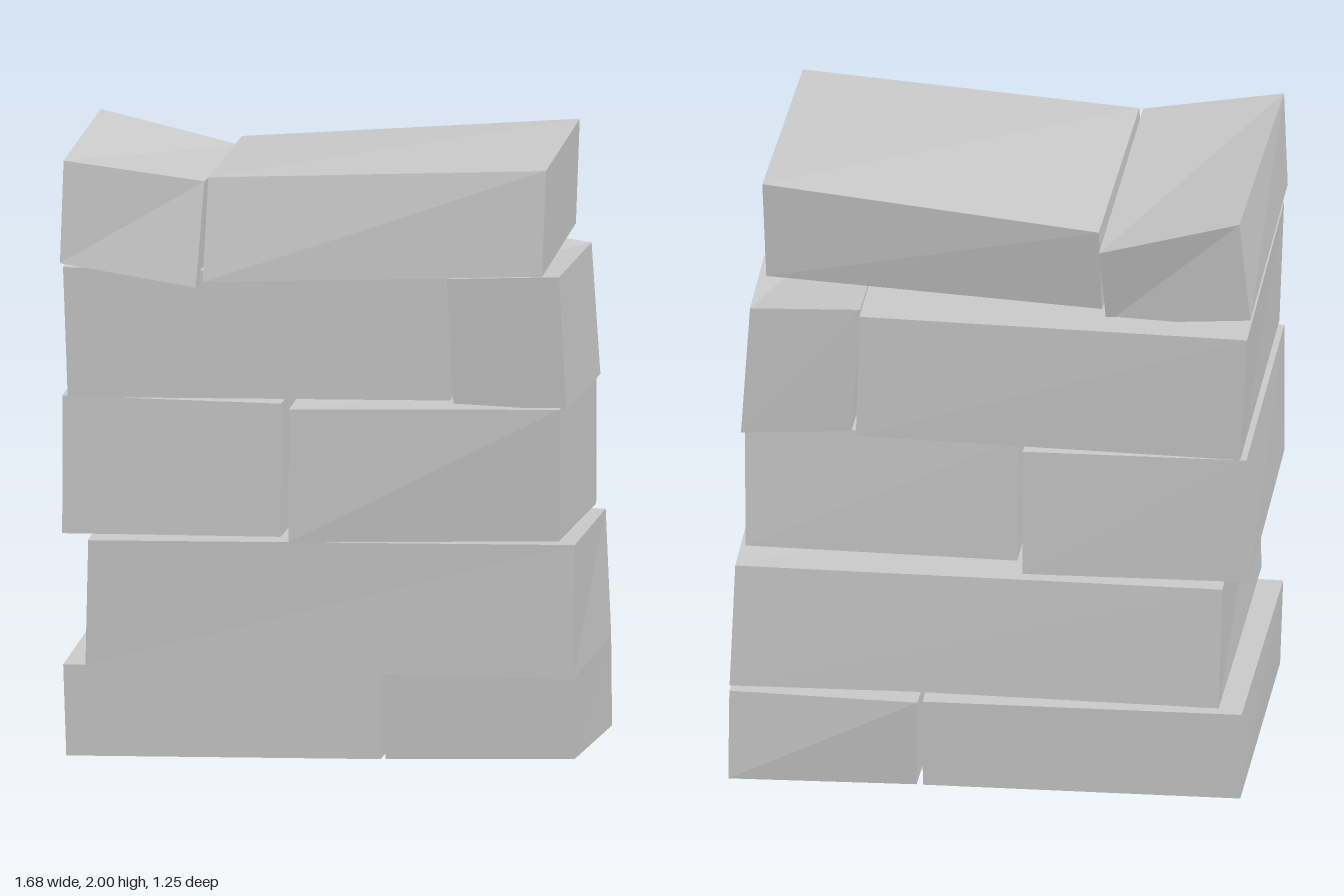
import * as THREE from 'three';

const material = new THREE.MeshStandardMaterial({ color: 0xcccccc, flatShading: true });

// A hewn block: a box whose eight corners are moved to given points.
// Each ring runs top left, top right, bottom right, bottom left (seen from +z).
function block(name, front, back) {
  const geometry = new THREE.BoxGeometry(1, 1, 1);
  const p = geometry.attributes.position;
  for (let i = 0; i < p.count; i++) {
    const ring = p.getZ(i) > 0 ? front : back;
    const right = p.getX(i) > 0;
    const corner = p.getY(i) > 0 ? (right ? 1 : 0) : (right ? 2 : 3);
    p.setXYZ(i, ...ring[corner]);
  }
  geometry.computeVertexNormals();
  const mesh = new THREE.Mesh(geometry, material);
  mesh.name = name;
  return mesh;
}

export function createModel() {
  const group = new THREE.Group();
  group.name = 'stackedStones';
  group.add(
    // Bottom course
    block('bottomCourseRight',
      [[-0.82, 0.32, 0.43], [0.205, 0.315, 0.43], [0.205, 0.03, 0.43], [-0.81, 0.025, 0.43]],
      [[-0.83, 0.33, -0.595], [0.2, 0.32, -0.62], [0.2, 0.02, -0.61], [-0.825, 0.03, -0.59]]),
    block('bottomCourseLeft',
      [[0.22, 0.315, 0.43], [0.835, 0.31, 0.435], [0.83, 0.04, 0.425], [0.22, 0.03, 0.42]],
      [[0.215, 0.32, -0.63], [0.83, 0.3, -0.585], [0.83, 0, -0.61], [0.22, 0.02, -0.61]]),
    // Second course, one long stone
    block('secondCourse',
      [[-0.73, 0.735, 0.51], [0.84, 0.745, 0.505], [0.835, 0.31, 0.505], [-0.74, 0.33, 0.5]],
      [[-0.76, 0.745, -0.54], [0.82, 0.715, -0.52], [0.835, 0.3, -0.545], [-0.75, 0.32, -0.555]]),
    // Third course
    block('thirdCourseRight',
      [[-0.815, 1.2, 0.49], [-0.11, 1.185, 0.49], [-0.11, 0.755, 0.5], [-0.815, 0.755, 0.5]],
      [[-0.835, 1.2, -0.52], [-0.11, 1.18, -0.515], [-0.11, 0.75, -0.525], [-0.845, 0.77, -0.525]]),
    block('thirdCourseLeft',
      [[-0.07, 1.185, 0.615], [0.805, 1.2, 0.625], [0.8, 0.77, 0.598], [-0.07, 0.755, 0.62]],
      [[-0.085, 1.18, -0.42], [0.805, 1.16, -0.4], [0.8, 0.745, -0.43], [-0.08, 0.75, -0.43]]),
    // Fourth course
    block('fourthCourseRight',
      [[-0.81, 1.62, 0.52], [0.44, 1.61, 0.53], [0.44, 1.21, 0.53], [-0.795, 1.2, 0.52]],
      [[-0.838, 1.63, -0.525], [0.42, 1.62, -0.505], [0.43, 1.2, -0.515], [-0.815, 1.2, -0.52]]),
    block('fourthCourseLeft',
      [[0.435, 1.61, 0.575], [0.8, 1.625, 0.595], [0.82, 1.19, 0.57], [0.455, 1.205, 0.56]],
      [[0.42, 1.635, -0.485], [0.785, 1.59, -0.43], [0.81, 1.16, -0.46], [0.45, 1.2, -0.48]]),
    // Top course, tipped apart
    block('topCourseRight',
      [[-0.8, 1.975, 0.59], [-0.35, 1.91, 0.55], [-0.37, 1.575, 0.62], [-0.81, 1.645, 0.605]],
      [[-0.8, 1.995, -0.435], [-0.35, 1.88, -0.47], [-0.365, 1.6, -0.4], [-0.835, 1.655, -0.43]]),
    block('topCourseLeft',
      [[-0.34, 1.92, 0.53], [0.755, 1.965, 0.57], [0.745, 1.625, 0.59], [-0.35, 1.59, 0.6]],
      [[-0.34, 1.92, -0.4], [0.755, 2, -0.36], [0.745, 1.665, -0.34], [-0.345, 1.63, -0.36]]),
  );
  return group;
}
